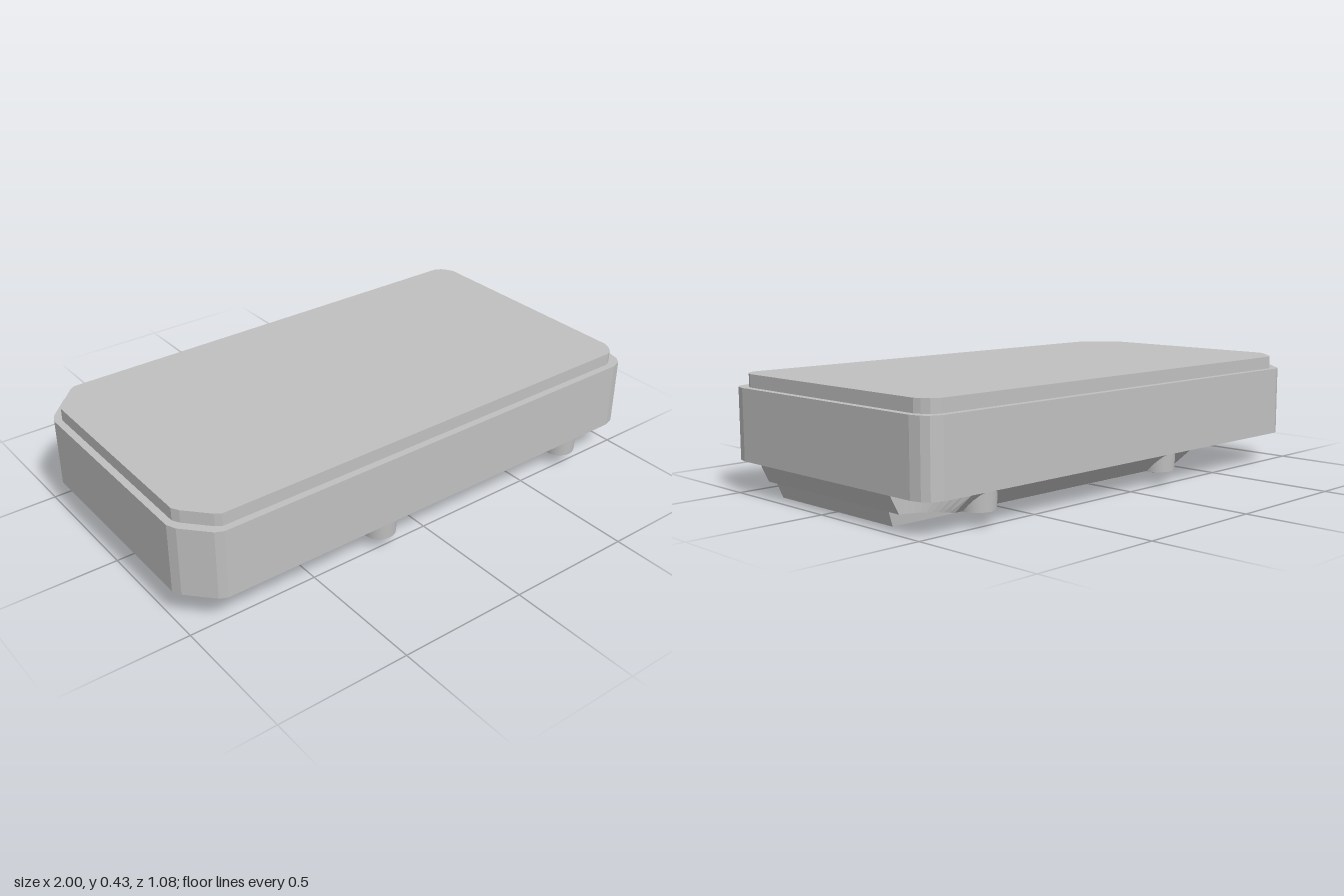
import * as THREE from 'three';

export function createModel() {
  const model = new THREE.Group();
  const grey = new THREE.MeshStandardMaterial({ color: 0xc0c0c0 });
  grey.name = 'casing grey';

  const add = (name, geometry, x = 0, y = 0, z = 0) => {
    const mesh = new THREE.Mesh(geometry, grey);
    mesh.name = name;
    mesh.position.set(x, y, z);
    model.add(mesh);
    return mesh;
  };

  // Mirrors the z > 0 half of an outline into a closed loop
  const mirrorLoop = (half) => {
    const other = half.filter(p => Math.abs(p.y) > 1e-6).map(p => new THREE.Vector2(p.x, -p.y));
    return [...half, ...other.reverse()];
  };

  // Vertical slab from an outline in (x, z)
  const slab = (points, height) => {
    const g = new THREE.ExtrudeGeometry(new THREE.Shape(points), { depth: height, bevelEnabled: false });
    return g.rotateX(-Math.PI / 2);
  };

  // Tapered block hanging down: walls between two loops plus a lower cap
  const taper = (upper, lower, yTop, yBottom) => {
    const pos = [];
    const put = (p, y) => pos.push(p.x, y, p.y);
    const n = upper.length;
    for (let i = 0; i < n; i++) {
      const j = (i + 1) % n;
      put(lower[i], yBottom); put(upper[i], yTop); put(lower[j], yBottom);
      put(lower[j], yBottom); put(upper[i], yTop); put(upper[j], yTop);
    }
    for (const tri of THREE.ShapeUtils.triangulateShape(lower, [])) {
      for (const k of tri) put(lower[k], yBottom);
    }
    const g = new THREE.BufferGeometry();
    g.setAttribute('position', new THREE.Float32BufferAttribute(pos, 3));
    g.computeVertexNormals();
    return g;
  };

  // Outer case outline: wide chamfers at -x, small rounded corners at +x
  const caseOutline = (d) => mirrorLoop([
    [1 - d, 0.46 - d * 0.4], [0.99 - d, 0.5 - d], [0.972 - d, 0.525 - d], [0.93 - d * 0.4, 0.54 - d],
    [-0.87 + d * 0.4, 0.54 - d], [-0.9 + d * 0.7, 0.526 - d], [-0.985 + d, 0.435 - d * 0.7], [-1 + d, 0.4 - d * 0.4],
  ].map(([x, z]) => new THREE.Vector2(x, z)));

  add('case', slab(caseOutline(0), 0.265), 0, 0.12, 0);
  add('lid', slab(caseOutline(0.027), 0.05), 0, 0.383, 0);

  // Underside outline: optional concave corner bites, and an arc around the motor
  const hub = -0.54;
  const underOutline = (xr, w, x0, R, bite) => {
    const half = [];
    if (bite) {
      const r = 0.19, cz = 0.55, steps = 10;
      const t0 = Math.PI + Math.acos((1 - xr) / r);
      const t1 = Math.PI + Math.asin((cz - w) / r);
      for (let i = 0; i <= steps; i++) {
        const t = t0 + (t1 - t0) * i / steps;
        half.push(new THREE.Vector2(1 + r * Math.cos(t), cz + r * Math.sin(t)));
      }
    } else {
      half.push(new THREE.Vector2(xr, w));
    }
    if (bite) half.push(new THREE.Vector2(x0, w));
    const a0 = Math.acos((x0 - hub) / R);
    for (let i = 0; i <= 10; i++) {
      const a = a0 * (1 - i / 10);
      half.push(new THREE.Vector2(hub + R * Math.cos(a), R * Math.sin(a)));
    }
    return mirrorLoop(half);
  };

  add('underPlate', taper(
    underOutline(0.998, 0.535, -0.31, 0.45, true),
    underOutline(0.965, 0.47, -0.285, 0.47, true), 0.121, 0.055));

  add('lowerBlock', taper(
    underOutline(0.965, 0.312, -0.15, 0.5, false),
    underOutline(0.945, 0.306, -0.135, 0.508, false), 0.056, 0.003));

  // Raised label area on the lower block
  add('lowerPanel', new THREE.BoxGeometry(0.76, 0.004, 0.46), 0.45, 0.002, 0);

  // Screw bosses with small ring-shaped seats
  for (const side of [-1, 1]) {
    for (const x of [-0.19, 0.73]) {
      add('screwBoss', new THREE.CylinderGeometry(0.065, 0.062, 0.068, 20), x, 0.087, side * 0.472);
      const ring = add('screwSeat', new THREE.TorusGeometry(0.027, 0.008, 8, 20), x, 0.053, side * 0.472);
      ring.rotation.x = Math.PI / 2;
    }
    add('cornerCap', new THREE.CylinderGeometry(0.065, 0.065, 0.005, 24), -0.87, 0.1185, side * 0.42);
  }

  // Motor cover flush with the underside
  add('motorCover', new THREE.CylinderGeometry(0.24, 0.24, 0.006, 40), hub, 0.118, 0);

  return model;
}
